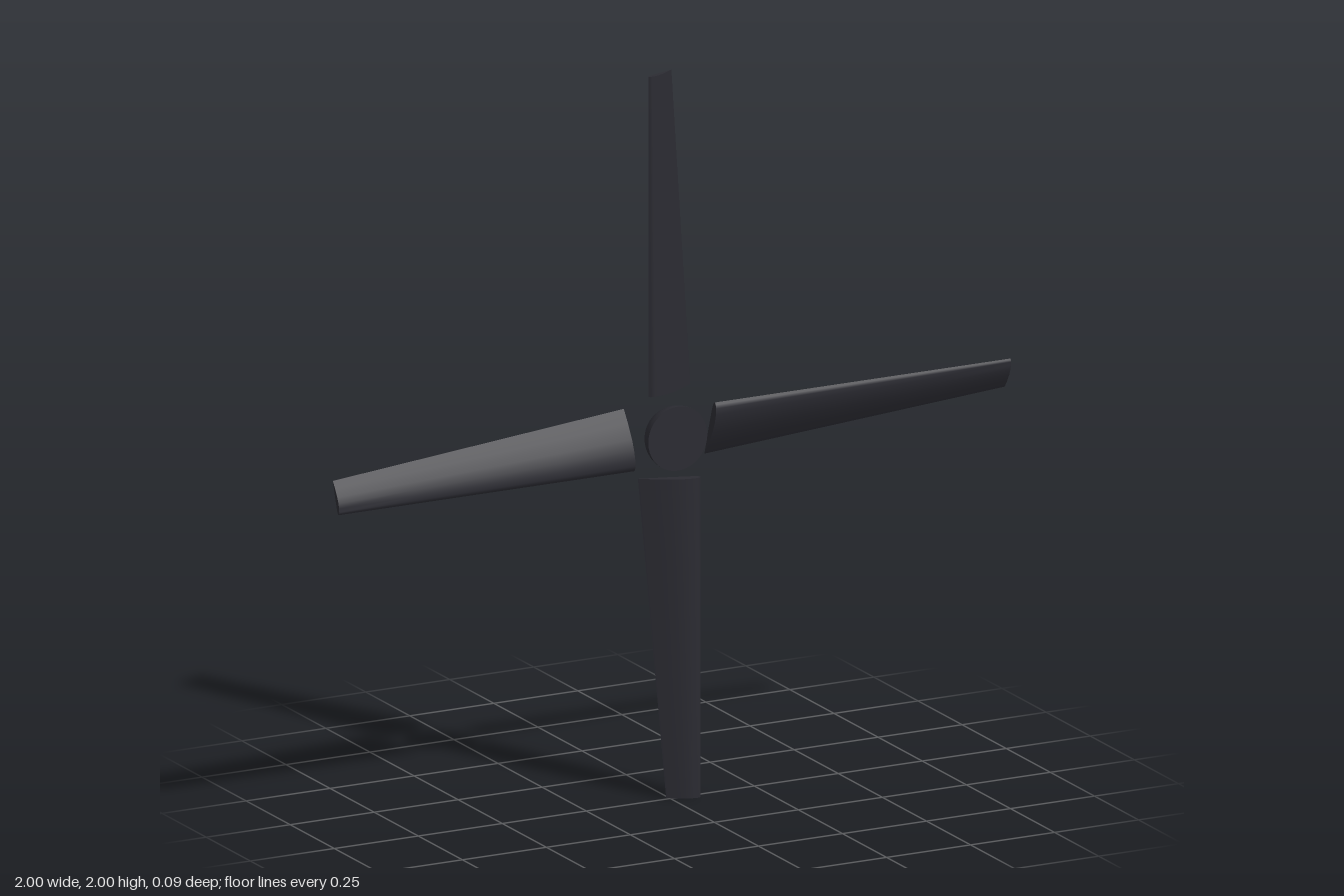
import * as THREE from 'three';
import { toCreasedNormals } from 'three/addons/utils/BufferGeometryUtils.js';

const HUB_Y = 1;
const ROOT = 0.12, TIP = 1, TIP_SCALE = 0.55;
const LEAD = { x: -0.078, z: 0.024 };   // leading edge of the upright blade
const CHORD = { x: 0.156, z: -0.059 };  // leading edge to trailing edge

// Aerofoil outline as [along chord, towards the front], in chord lengths
function bladeSection() {
  const front = [[0.02, 0.04], [0.07, 0.075], [0.17, 0.105], [0.32, 0.12], [0.5, 0.11], [0.75, 0.065], [1, 0]];
  const back = [[0.75, -0.015], [0.5, -0.03], [0.25, -0.04], [0.1, -0.04], [0.03, -0.025]];
  const pts = [[0, 0], ...front, ...back].map(([t, n]) => new THREE.Vector2(
    t * CHORD.x - n * CHORD.z,
    -(t * CHORD.z + n * CHORD.x),
  ));
  return new THREE.Shape(pts);
}

// One upright blade, tapering towards its straight leading edge
function bladeGeometry() {
  const geo = new THREE.ExtrudeGeometry(bladeSection(), { depth: TIP - ROOT, steps: 4, bevelEnabled: false });
  geo.rotateX(-Math.PI / 2);
  const p = geo.attributes.position;
  for (let i = 0; i < p.count; i++) {
    const s = THREE.MathUtils.lerp(1, TIP_SCALE, p.getY(i) / (TIP - ROOT));
    p.setXYZ(i, LEAD.x + p.getX(i) * s, ROOT + p.getY(i), LEAD.z + p.getZ(i) * s);
  }
  return toCreasedNormals(geo, 0.7);
}

// Flat-fronted hub with a rounded back
function hubGeometry() {
  const r = 0.088, profile = [];
  for (let i = 0; i <= 14; i++) {
    const a = (i / 14) * Math.PI / 2;
    profile.push(new THREE.Vector2(r * Math.sin(a), -r * Math.cos(a)));
  }
  profile.push(new THREE.Vector2(0, 0));
  const geo = new THREE.LatheGeometry(profile, 40);
  geo.rotateX(Math.PI / 2);
  geo.translate(0, 0, 0.043);
  return toCreasedNormals(geo, 0.7);
}

export function createModel() {
  const group = new THREE.Group();
  group.name = 'propeller';
  const charcoal = new THREE.MeshStandardMaterial({ color: 0x2b2b32 });
  charcoal.name = 'charcoal';

  const hub = new THREE.Mesh(hubGeometry(), charcoal);
  hub.name = 'hub';
  hub.position.y = HUB_Y;
  group.add(hub);

  // Four blades a quarter turn apart
  const geo = bladeGeometry();
  ['topBlade', 'rightBlade', 'bottomBlade', 'leftBlade'].forEach((name, i) => {
    const blade = new THREE.Mesh(geo, charcoal);
    blade.name = name;
    blade.position.y = HUB_Y;
    blade.rotation.z = i * Math.PI / 2;
    group.add(blade);
  });
  return group;
}
